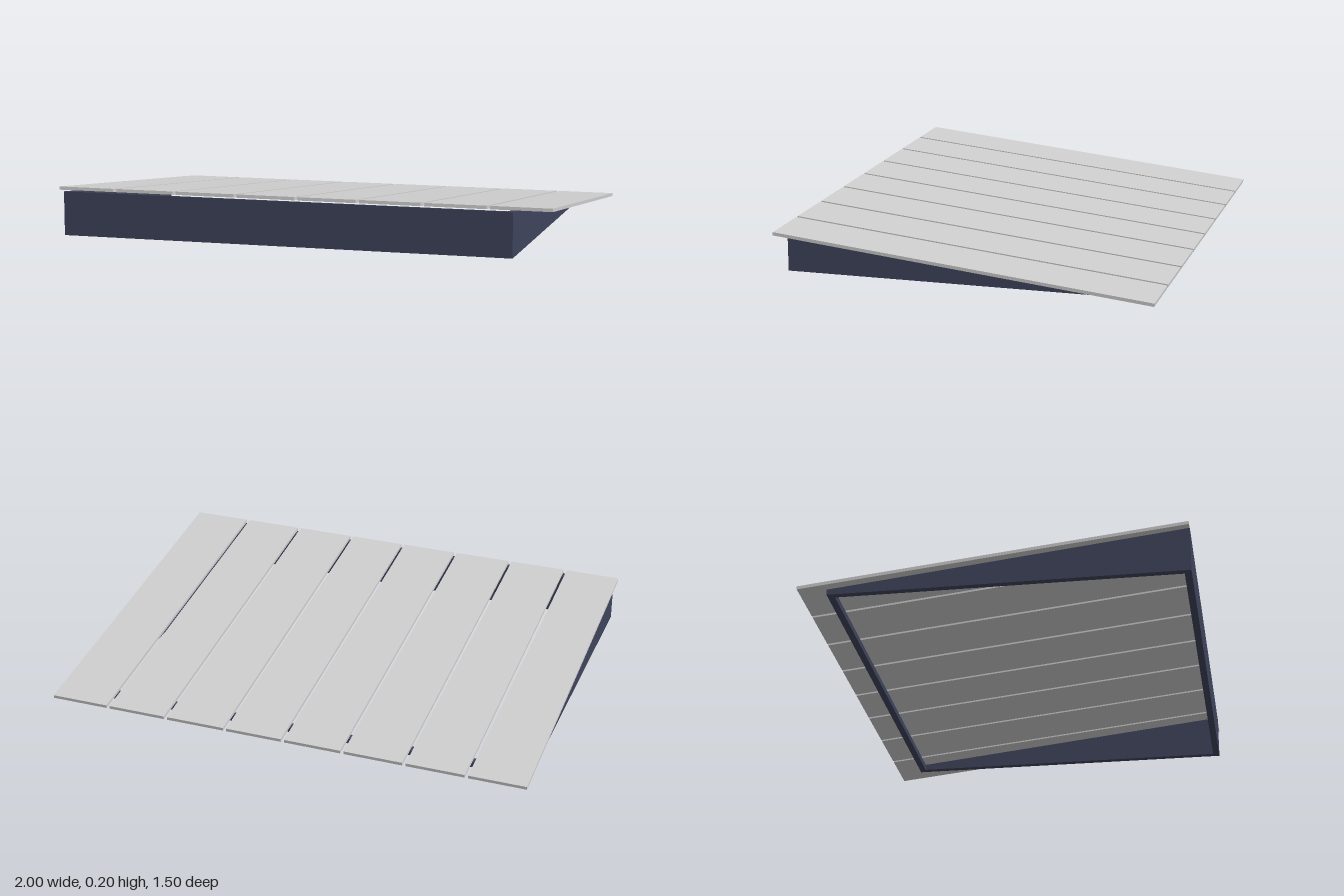
import * as THREE from 'three';

export function createModel() {
  const model = new THREE.Group();
  model.name = 'slattedRamp';
  const slatGrey = new THREE.MeshStandardMaterial({ color: 0xcecece });
  slatGrey.name = 'lightGrey';
  const frameBlue = new THREE.MeshStandardMaterial({ color: 0x3f445c });
  frameBlue.name = 'darkSlateBlue';

  // Height of the sloping top edge of the frame
  const FRONT = 0.752, BACK = -0.637, LEFT = 0.85, RIGHT = -0.98, WALL = 0.027;
  const topAt = z => 0.022 + (z - BACK) * (0.156 / (FRONT - BACK));

  // Wall with a sloping top, spanning z0..z1 and x0..x1
  function addWall(name, x0, x1, z0, z1) {
    const side = new THREE.Shape([
      new THREE.Vector2(z0, 0), new THREE.Vector2(z1, 0),
      new THREE.Vector2(z1, topAt(z1)), new THREE.Vector2(z0, topAt(z0)),
    ]);
    const geo = new THREE.ExtrudeGeometry(side, { depth: x1 - x0, bevelEnabled: false });
    geo.rotateY(-Math.PI / 2).translate(x1, 0, 0);
    const wall = new THREE.Mesh(geo, frameBlue);
    wall.name = name;
    model.add(wall);
  }

  // Open wedge frame
  addWall('frontWall', RIGHT, LEFT, FRONT - WALL, FRONT);
  addWall('backWall', RIGHT, LEFT, BACK, BACK + WALL);
  addWall('leftWall', LEFT - WALL, LEFT, BACK + WALL, FRONT - WALL);
  addWall('rightWall', RIGHT, RIGHT + WALL, BACK + WALL, FRONT - WALL);

  // Sloping deck of eight slats, separated by narrow gaps
  const deck = new THREE.Group();
  deck.name = 'deck';
  const GAP = 0.014, RISE = 0.162, LENGTH = Math.hypot(1.5, RISE);
  const gaps = [-0.761, -0.509, -0.254, -0.005, 0.242, 0.5, 0.755];
  for (let i = 0; i <= gaps.length; i++) {
    const x0 = i === 0 ? -1 : gaps[i - 1] + GAP / 2;
    const x1 = i === gaps.length ? 1 : gaps[i] - GAP / 2;
    const slat = new THREE.Mesh(new THREE.BoxGeometry(x1 - x0, 0.013, LENGTH), slatGrey);
    slat.position.x = (x0 + x1) / 2;
    slat.name = 'slat' + (i + 1);
    deck.add(slat);
  }
  deck.position.y = 0.109;
  deck.rotation.x = -Math.atan2(RISE, 1.5);
  model.add(deck);

  return model;
}
